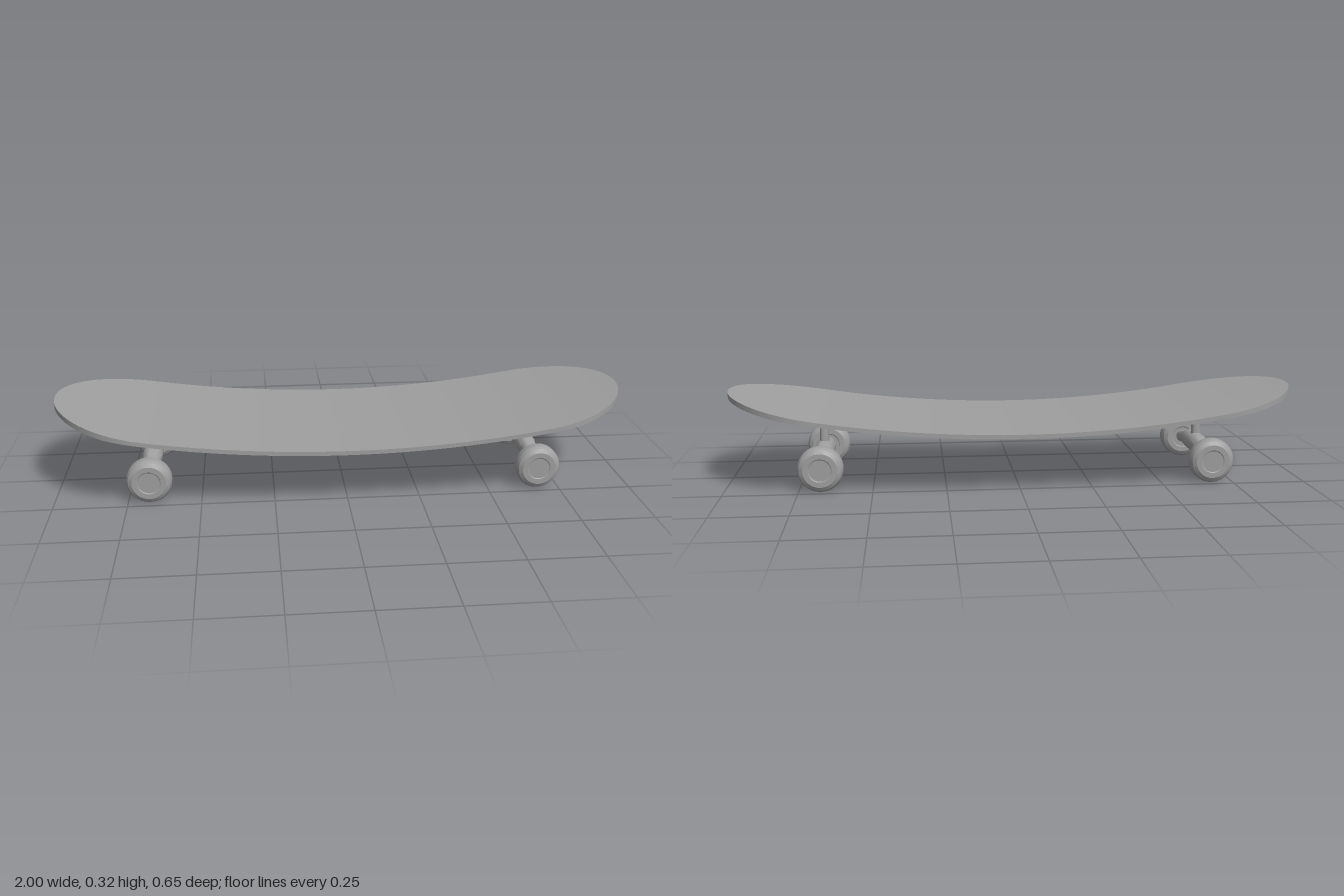
import * as THREE from 'three';
import { toCreasedNormals } from 'three/addons/utils/BufferGeometryUtils.js';

const material = new THREE.MeshStandardMaterial({ color: 0x9f9f9f });
const TRUCK_X = 0.675;
const HALF_W = 0.3245;
const STRAIGHT = 0.68;

// Height of the rocker curve above its lowest point
const rocker = (x) => 0.116 * x * x;

function mesh(name, geometry, crease = 0.6) {
  const m = new THREE.Mesh(toCreasedNormals(geometry, crease), material);
  m.name = name;
  return m;
}

// Closed solid through loops of [x, y, z], each counter-clockwise about the direction of travel
function loft(loops) {
  const n = loops[0].length;
  const positions = loops.flat(2);
  const index = [];
  for (let i = 0; i < loops.length - 1; i++) {
    for (let j = 0; j < n; j++) {
      const k = (j + 1) % n;
      const a = i * n + j, b = i * n + k, c = b + n, d = a + n;
      index.push(a, b, c, a, c, d);
    }
  }
  const last = (loops.length - 1) * n;
  for (let j = 1; j < n - 1; j++) {
    index.push(0, j + 1, j, last, last + j, last + j + 1);
  }
  const g = new THREE.BufferGeometry();
  g.setAttribute('position', new THREE.Float32BufferAttribute(positions, 3));
  g.setIndex(index);
  return g;
}

// Stadium-shaped deck, bent upwards at both ends, its underside lifting at the long edges
function deck() {
  const xs = [];
  const end = 1 - STRAIGHT;
  for (let i = 0; i <= 20; i++) xs.push(-STRAIGHT - end * Math.cos((i / 20) * Math.PI / 2));
  for (let i = 1; i < 24; i++) xs.push(-STRAIGHT + (2 * STRAIGHT * i) / 24);
  for (let i = 0; i <= 20; i++) xs.push(STRAIGHT + end * Math.sin((i / 20) * Math.PI / 2));
  const across = [-1, -0.92, -0.5, 0, 0.5, 0.92, 1];
  const loops = xs.map((x) => {
    const t = Math.max(0, (Math.abs(x) - STRAIGHT) / end);
    const w = HALF_W * Math.sqrt(Math.max(0, 1 - t * t));
    const lift = (z) => 0.004 * Math.max(0, (Math.abs(z) - 0.3) / 0.025);
    return [
      ...across.map((u) => [x, 0.2045 + rocker(x), u * w]),
      ...across.map((u) => [x, 0.186 + rocker(x) + lift(u * w), -u * w]),
    ];
  });
  return mesh('deck', loft(loops));
}

// Stiffening rib under the deck, running between the trucks
function rib() {
  const loops = [];
  for (let i = 0; i <= 24; i++) {
    const x = -TRUCK_X + (2 * TRUCK_X * i) / 24;
    const top = rocker(x) + 0.19, bottom = rocker(x) + 0.1735;
    loops.push([[x, top, -0.03], [x, top, 0.03], [x, bottom, 0.03], [x, bottom, -0.03]]);
  }
  return mesh('rib', loft(loops));
}

// Axle hanger: round sections that thin out and drop towards the wheels
function hanger() {
  const half = [[0, 0.097, 0.035], [0.052, 0.097, 0.035], [0.08, 0.095, 0.031],
    [0.11, 0.092, 0.025], [0.15, 0.085, 0.023], [0.195, 0.078, 0.023]];
  const stations = [...half.slice(1).reverse().map(([z, y, r]) => [-z, y, r]), ...half];
  const loops = stations.map(([z, y, r]) => Array.from({ length: 24 }, (_, j) => {
    const a = (j / 24) * Math.PI * 2;
    return [r * Math.cos(a), y + r * Math.sin(a), z];
  }));
  return mesh('hanger', loft(loops), 0.8);
}

function lathe(points, segments) {
  return new THREE.LatheGeometry(points.map(([r, y]) => new THREE.Vector2(r, y)), segments);
}

// Wheel with bevelled shoulders and a shallow hub on its outer face
function wheel(side) {
  const g = lathe([
    [0, -0.031], [0.037, -0.031], [0.04, -0.033], [0.058, -0.033], [0.071, -0.025],
    [0.077, -0.014], [0.077, 0.014], [0.071, 0.025], [0.058, 0.033],
    [0.04, 0.033], [0.037, 0.031], [0, 0.031],
  ], 40);
  g.rotateX(side * Math.PI / 2);
  const m = mesh('wheel', g, 0.5);
  m.position.set(0, 0.077, side * 0.207);
  return m;
}

// Truck: mount under the deck, post, hanger and a pair of wheels
function truck(side) {
  const group = new THREE.Group();
  group.name = side > 0 ? 'leftTruck' : 'rightTruck';
  const mount = mesh('mount', lathe([
    [0, -0.042], [0.016, -0.042], [0.022, -0.036], [0.043, -0.025], [0.048, -0.02], [0.048, 0.002], [0, 0.002],
  ], 32));
  mount.position.y = 0.186 + rocker(TRUCK_X);
  mount.rotation.z = side * Math.atan(0.232 * TRUCK_X);
  const post = mesh('post', new THREE.CylinderGeometry(0.016, 0.016, 0.12, 24));
  post.position.y = 0.16;
  group.add(mount, post, hanger(), wheel(1), wheel(-1));
  group.position.set(side * TRUCK_X, 0, -0.003);
  return group;
}

export function createModel() {
  const model = new THREE.Group();
  model.name = 'skateboard';
  model.add(deck(), rib(), truck(1), truck(-1));
  return model;
}
